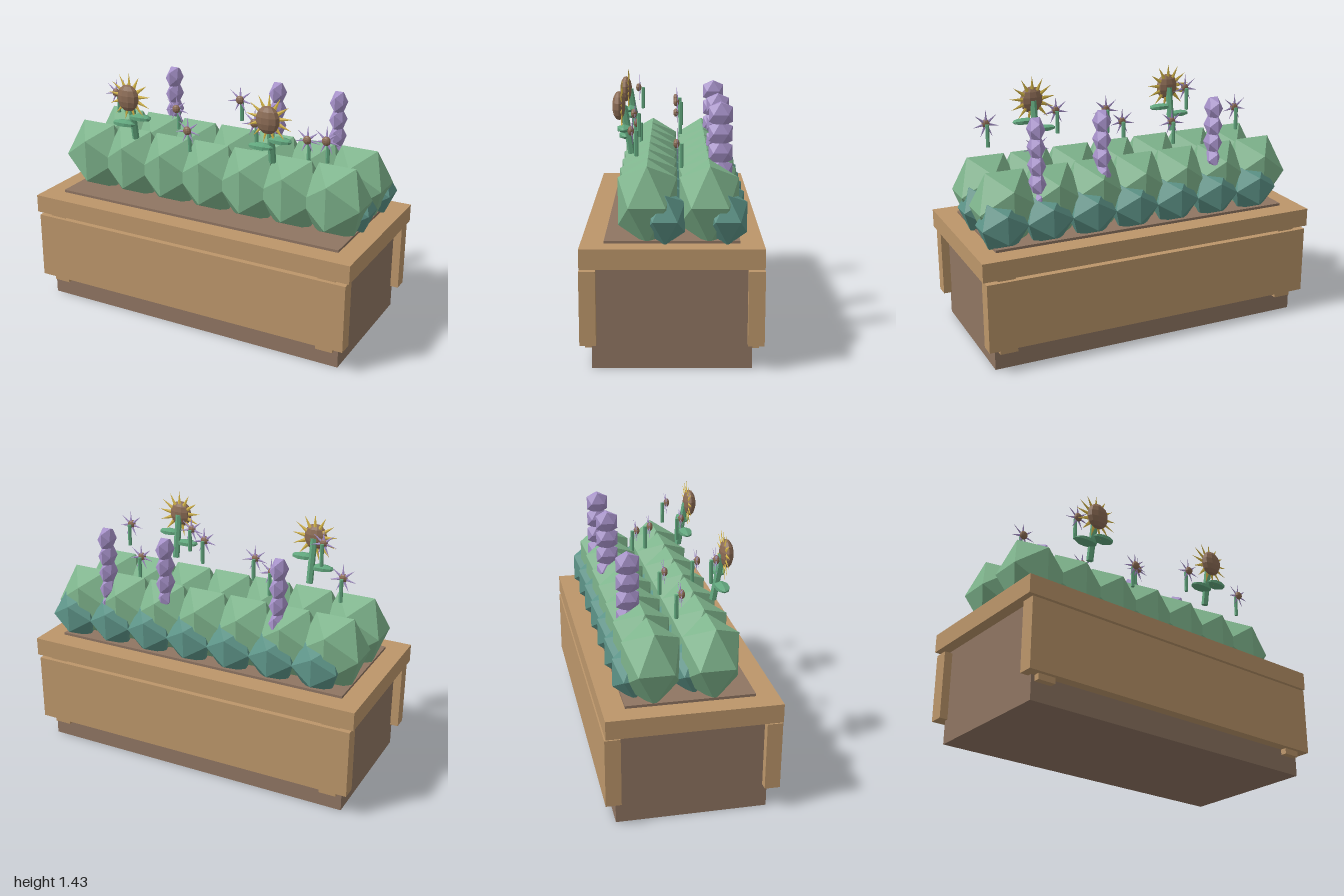
import * as THREE from 'three';

const mat = (name, color, side = THREE.FrontSide) => {
  const m = new THREE.MeshStandardMaterial({ color, flatShading: true, side });
  m.name = name;
  return m;
};

export function createModel() {
  const model = new THREE.Group();
  model.name = 'flowerPlanter';

  const wood = mat('wood', 0xbc966a);
  const earth = mat('earthBrown', 0x8f7562);
  const leafLight = mat('bushGreen', 0x7fb58d);
  const leafDark = mat('shadeBushTeal', 0x5d9488);
  const stemGreen = mat('stemGreen', 0x62a77e);
  const purple = mat('blossomPurple', 0xa893cb);
  const seed = mat('seedBrown', 0x8c6c55);
  const yellow = mat('petalYellow', 0xd8b84a);

  const boxGeo = new THREE.BoxGeometry(1, 1, 1);
  const ico = new THREE.IcosahedronGeometry(1, 0);
  const ball = new THREE.SphereGeometry(1, 10, 7);
  const lens = new THREE.SphereGeometry(1, 6, 5).rotateZ(Math.PI / 2);
  const rod = new THREE.CylinderGeometry(1, 1, 1, 6);
  const spike = new THREE.ConeGeometry(1, 1, 4).translate(0, 0.5, 0);

  const add = (parent, name, geo, material, pos, scale) => {
    const m = new THREE.Mesh(geo, material);
    m.name = name;
    m.position.set(...pos);
    m.scale.set(...scale);
    parent.add(m);
    return m;
  };
  const group = (name) => {
    const g = new THREE.Group();
    g.name = name;
    model.add(g);
    return g;
  };

  // Planter: trough, rim, soil, side boards and the battens behind them
  const planter = group('planter');
  add(planter, 'trough', boxGeo, earth, [0, 0.275, 0], [1.87, 0.55, 0.82]);
  add(planter, 'rim', boxGeo, wood, [0, 0.593, 0], [2, 0.105, 0.93]);
  add(planter, 'soil', boxGeo, earth, [0, 0.62, 0], [1.77, 0.08, 0.69]);
  for (const s of [1, -1]) {
    add(planter, 'sideBoard', boxGeo, wood, [0, 0.33, s * 0.427], [1.964, 0.39, 0.084]);
    for (const x of [-0.865, 0.865])
      add(planter, 'batten', boxGeo, wood, [x, 0.321, s * 0.423], [0.1, 0.438, 0.045]);
  }

  // Two rows of bushes, each with a darker row tucked behind
  const bushes = group('bushes');
  for (const z of [0.126, -0.19]) {
    for (let i = 0; i < 7; i++) {
      const x = -0.768 + i * 0.2565;
      add(bushes, 'bush', ico, leafLight, [x, 0.84, z], [0.204, 0.236, 0.178]);
      add(bushes, 'shadeBush', ico, leafDark, [x + 0.052, 0.77, z - 0.09], [0.152, 0.15, 0.12]);
    }
  }

  // Tall purple blossom spikes made of stacked buds
  for (const x of [-0.465, 0.23, 0.61]) {
    const g = group('blossomSpike');
    for (let i = 0; i < 5; i++)
      add(g, 'bud', ico, purple, [x, 1.266 - i * 0.1, -0.253], [0.047, 0.075, 0.0735]);
  }

  // Ring of thin pointed petals in the xy plane
  const petals = (g, material, count, center, inner, length, width) => {
    for (let i = 0; i < count; i++) {
      const a = (i / count) * Math.PI * 2;
      const p = [center[0] - Math.sin(a) * inner, center[1] + Math.cos(a) * inner, center[2]];
      add(g, 'petal', spike, material, p, [width, length, width * 0.35]).rotation.z = a;
    }
  };

  // Two large flowers with leaning stems and a pair of leaves
  for (const [x, y] of [[-0.448, 1.28], [0.43, 1.288]]) {
    const g = group('largeFlower');
    add(g, 'stem', rod, stemGreen, [x, y - 0.13, 0.238], [0.02, 0.26, 0.02]).rotation.x = 0.17;
    add(g, 'flowerHead', ball, seed, [x, y, 0.284], [0.07, 0.078, 0.037]);
    petals(g, yellow, 13, [x, y, 0.268], 0.06, 0.08, 0.012);
    add(g, 'leaf', lens, stemGreen, [x - 0.055, y - 0.167, 0.25], [0.075, 0.021, 0.042]);
    add(g, 'leaf', lens, stemGreen, [x + 0.06, y - 0.115, 0.255], [0.07, 0.021, 0.042]);
  }

  // Small flowers alternating between the back and front rows
  const heights = [1.19, 1.28, 1.15, 1.118, 1.267, 1.23, 1.098, 1.198];
  heights.forEach((y, i) => {
    const g = group('smallFlower');
    const x = -0.74 + i * 0.2107;
    const z = i % 2 ? 0.182 : -0.05;
    add(g, 'stem', rod, stemGreen, [x, y - 0.065, z], [0.011, 0.13, 0.011]);
    add(g, 'flowerCentre', ball, seed, [x, y, z + 0.027], [0.025, 0.025, 0.017]);
    petals(g, purple, 7, [x, y, z + 0.02], 0.018, 0.065, 0.008);
  });

  return model;
}
